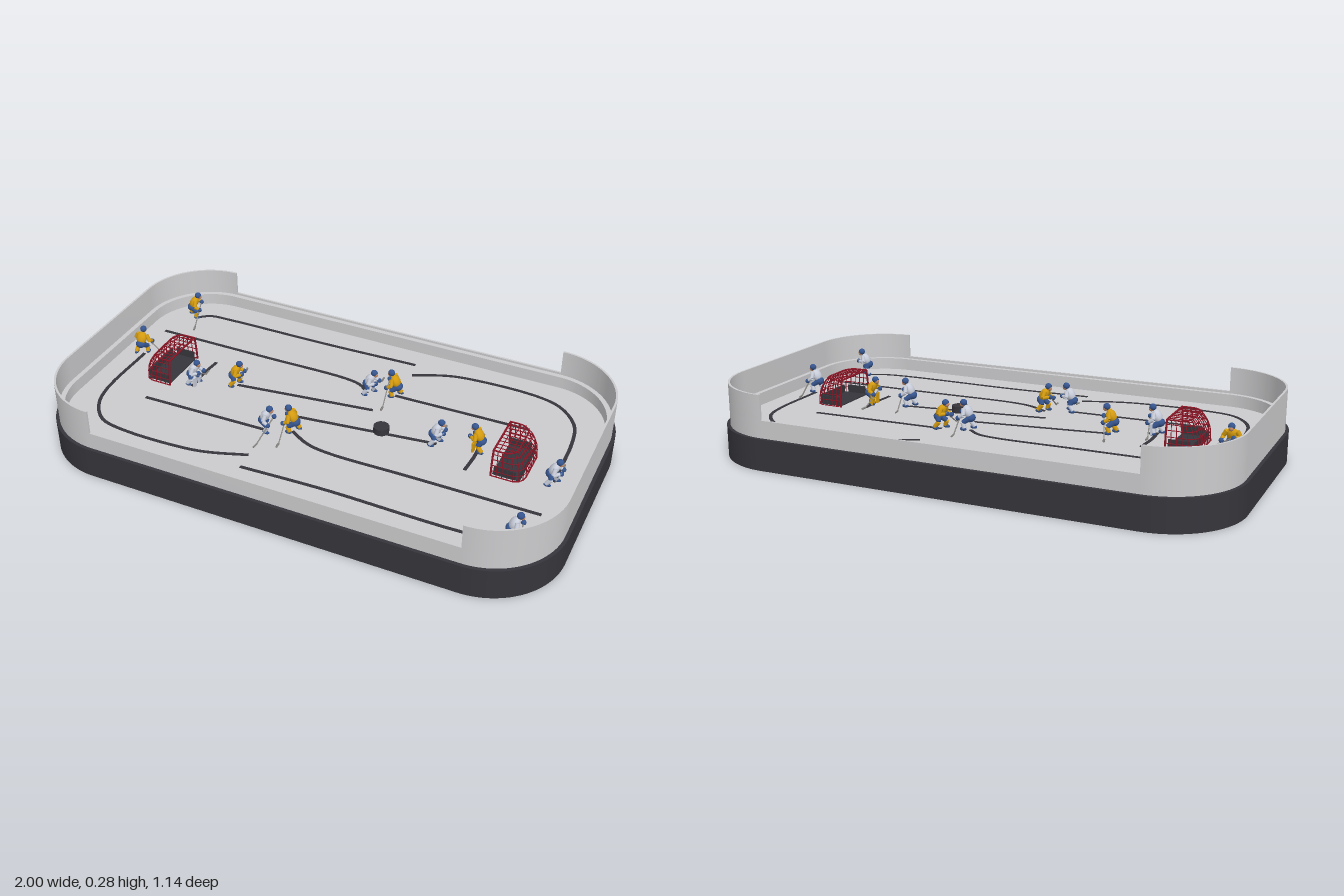
import * as THREE from 'three';
import { toCreasedNormals } from 'three/addons/utils/BufferGeometryUtils.js';

const V = (x, y, z) => new THREE.Vector3(x, y, z);
const FLOOR = 0.13;

function material(name, color) {
  const m = new THREE.MeshStandardMaterial({ color });
  m.name = name;
  return m;
}

function add(parent, name, geometry, mat, x = 0, y = 0, z = 0) {
  const mesh = new THREE.Mesh(geometry, mat);
  mesh.name = name;
  mesh.position.set(x, y, z);
  parent.add(mesh);
  return mesh;
}

// Rounded rectangle outline with half sizes a, b and corner radius r
function roundedRect(a, b, r, Type = THREE.Shape) {
  const s = new Type();
  s.moveTo(-a + r, -b);
  s.lineTo(a - r, -b);
  s.absarc(a - r, -b + r, r, -Math.PI / 2, 0);
  s.lineTo(a, b - r);
  s.absarc(a - r, b - r, r, 0, Math.PI / 2);
  s.lineTo(-a + r, b);
  s.absarc(-a + r, b - r, r, Math.PI / 2, Math.PI);
  s.lineTo(-a, -b + r);
  s.absarc(-a + r, -b + r, r, Math.PI, Math.PI * 1.5);
  return s;
}

// Extrude a plan outline upward from y0 to y1
function slab(shape, y0, y1) {
  const g = new THREE.ExtrudeGeometry(shape, { depth: y1 - y0, bevelEnabled: false, curveSegments: 20 });
  g.rotateX(-Math.PI / 2).translate(0, y0, 0);
  return toCreasedNormals(g, 0.5);
}

function ring(a, b, r, t, y0, y1) {
  const s = roundedRect(a, b, r);
  s.holes.push(roundedRect(a - t, b - t, r - t, THREE.Path));
  return slab(s, y0, y1);
}

// U-shaped tall wall around one end
function endWall(a, b, r, t, y0, y1) {
  const s = new THREE.Shape(), x = a - r;
  s.moveTo(x, -b);
  s.absarc(x, -b + r, r, -Math.PI / 2, 0);
  s.absarc(x, b - r, r, 0, Math.PI / 2);
  s.lineTo(x, b - t);
  s.absarc(x, b - r, r - t, Math.PI / 2, 0, true);
  s.absarc(x, -b + r, r - t, 0, -Math.PI / 2, true);
  return slab(s, y0, y1);
}

// Flat strip following [x, z] points on the floor
function strip(points, width) {
  const curve = new THREE.CatmullRomCurve3(points.map(([x, z]) => V(x, -z, 0)), false, 'centripetal');
  const n = 28, left = [], right = [];
  for (let i = 0; i <= n; i++) {
    const p = curve.getPoint(i / n), t = curve.getTangent(i / n);
    const side = V(-t.y, t.x, 0).multiplyScalar(width / 2);
    left.push(p.clone().add(side));
    right.unshift(p.clone().sub(side));
  }
  return slab(new THREE.Shape([...left, ...right]), FLOOR, FLOOR + 0.002);
}

// Straight tapered limb between two points
function limb(parent, name, a, b, ra, rb, mat, sides = 8) {
  const d = b.clone().sub(a);
  const mesh = add(parent, name, new THREE.CylinderGeometry(rb, ra, d.length(), sides), mat);
  mesh.position.copy(a).add(b).multiplyScalar(0.5);
  mesh.quaternion.setFromUnitVectors(V(0, 1, 0), d.normalize());
}

function blob(parent, name, mat, p, sx, sy, sz, tilt = 0) {
  const mesh = add(parent, name, new THREE.SphereGeometry(1, 12, 8), mat, ...p);
  mesh.scale.set(sx, sy, sz);
  mesh.rotation.z = tilt;
}

// Player facing +x, with the stick reaching to the given side
function makePlayer(name, jersey, m, side, keeper) {
  const g = new THREE.Group();
  g.name = name;
  blob(g, 'shorts', m.blue, [-0.012, 0.047, 0], 0.017, 0.016, 0.02, -0.4);
  blob(g, 'torso', jersey, [0, 0.069, 0], 0.017, 0.026, 0.022, -0.5);
  blob(g, 'face', m.skin, [0.023, 0.096, 0], 0.01, 0.011, 0.009);
  blob(g, 'helmet', m.blue, [0.018, 0.102, 0], 0.0135, 0.0125, 0.0125);
  for (const s of [-1, 1]) {
    const foot = V(s * side * 0.012 - 0.006, 0.01, s * 0.02), knee = V(0.006 + s * side * 0.008, 0.03, s * 0.017);
    limb(g, 'thigh', V(-0.01, 0.047, s * 0.009), knee, 0.012, 0.009, m.blue);
    limb(g, 'sock', foot, knee, 0.008, 0.009, jersey);
    blob(g, 'skate', m.blue, [foot.x + 0.005, 0.007, foot.z], 0.014, 0.007, 0.006);
    if (keeper) add(g, 'legPad', new THREE.BoxGeometry(0.008, 0.04, 0.018), jersey, 0.014, 0.024, s * 0.018);
    const near = s === side;
    const hand = V(near ? 0.026 : 0.03, near ? 0.05 : 0.064, near ? s * 0.032 : s * 0.012);
    const elbow = V(0.006, 0.062, s * 0.031);
    limb(g, 'upperArm', V(0.009, 0.083, s * 0.018), elbow, 0.009, 0.008, jersey);
    limb(g, 'foreArm', elbow, hand, 0.008, 0.006, jersey);
    blob(g, 'glove', m.blue, hand.toArray(), 0.009, 0.009, 0.009);
  }
  const tip = V(0.012, 0.006, side * (keeper ? 0.07 : 0.095));
  limb(g, 'stickShaft', V(0.031, 0.07, -side * 0.02), tip, 0.0024, 0.0024, m.stick, 6);
  limb(g, 'stickBlade', tip, V(0.01, 0.005, side * (keeper ? 0.095 : 0.118)), 0.0045, 0.004, m.stick, 4);
  return g;
}

// Goal opening toward +x
function makeGoal(m) {
  const g = new THREE.Group(), H = 0.105, W = 0.105, R = 0.035, front = 0.055;
  g.name = 'goal';
  const back = t => -0.062 + 0.038 * t * t * t;
  const loop = t => {
    const b = back(t), w = W - 0.012 * t * t;
    const pts = [[front, -w], [b + R, -w], [b + R * 0.3, -w + R * 0.3], [b, -w + R],
      [b, w - R], [b + R * 0.3, w - R * 0.3], [b + R, w], [front, w]].map(([x, z]) => V(x, t * H, z));
    const path = new THREE.CurvePath();
    for (let i = 1; i < pts.length; i++) path.add(new THREE.LineCurve3(pts[i - 1], pts[i]));
    return path;
  };
  const wire = (name, pts, r) => {
    for (let i = 1; i < pts.length; i++) limb(g, name, pts[i - 1], pts[i], r, r, m.red, 5);
  };
  const levels = [0, 0.22, 0.44, 0.66, 0.85, 1], loops = levels.map(loop);
  loops.forEach((path, i) => wire('netLoop', path.getSpacedPoints(20), i % 5 ? 0.0017 : 0.003));
  for (let k = 0; k <= 20; k++) wire('netRib', loops.map(p => p.getPoint(k / 20)), k % 20 ? 0.0017 : 0.004);
  const w = W - 0.012;
  wire('crossbar', [V(front, H, -w), V(front, H, w)], 0.004);
  for (let i = 1; i < 9; i++) {
    const z = -w + (i * 2 * w) / 9;
    wire('roofNet', [V(back(1), H, z), V(front, H, z)], 0.0017);
  }
  for (let i = 1; i < 4; i++) {
    const x = back(1) + (i * (front - back(1))) / 4;
    wire('roofNet', [V(x, H, -w), V(x, H, w)], 0.0017);
  }
  // Dark pocket behind the goal mouth
  add(g, 'goalFloor', new THREE.BoxGeometry(0.1, 0.004, 0.19), m.dark, 0.002, 0.003, 0);
  add(g, 'goalBackboard', new THREE.BoxGeometry(0.005, 0.035, 0.17), m.dark, -0.047, 0.018, 0);
  for (const s of [-1, 1]) add(g, 'goalSideboard', new THREE.BoxGeometry(0.08, 0.035, 0.005), m.dark, 0.008, 0.018, s * 0.093);
  return g;
}

export function createModel() {
  const model = new THREE.Group();
  model.name = 'tableHockeyGame';
  const m = {
    dark: material('charcoal', 0x35353b), ice: material('lightGrey', 0xcbcbcd),
    red: material('goalRed', 0x8f1526), yellow: material('yellowJersey', 0xd59c10),
    white: material('whiteJersey', 0xc9cedb), blue: material('kitBlue', 0x36558f),
    skin: material('skin', 0xc98f6c), stick: material('stickGrey', 0x8c8a86),
  };

  // Base, floor and boards
  add(model, 'base', slab(roundedRect(1, 0.57, 0.285), 0, 0.12), m.dark);
  add(model, 'rinkFloor', slab(roundedRect(0.982, 0.552, 0.267), 0.12, FLOOR), m.ice);
  add(model, 'lowBoard', ring(0.987, 0.557, 0.272, 0.008, 0.12, 0.187), m.ice);
  add(model, 'innerLedge', ring(0.98, 0.55, 0.265, 0.02, FLOOR, 0.178), m.ice);
  for (const turn of [0, Math.PI])
    add(model, 'endBoard', endWall(0.987, 0.557, 0.272, 0.008, 0.187, 0.282), m.ice).rotation.y = turn;

  // Player tracks as [x, z] points
  [
    [[-0.82, -0.38], [-0.77, -0.415], [-0.68, -0.422], [-0.25, -0.425], [0.155, -0.437]],
    [[0.17, -0.365], [0.3, -0.42], [0.4, -0.437], [0.65, -0.437], [0.76, -0.405], [0.84, -0.32], [0.865, -0.22], [0.87, 0.04]],
    [[-0.885, -0.233], [-0.4, -0.233], [-0.06, -0.233], [0.01, -0.218], [0.06, -0.18]],
    [[0.165, -0.207], [0.7, -0.217]],
    [[-0.42, -0.013], [0.125, -0.083]],
    [[-0.13, 0.078], [0.42, 0.01]],
    [[-0.7, 0.21], [-0.18, 0.2]],
    [[-0.09, 0.165], [-0.01, 0.21], [0.08, 0.228], [0.4, 0.228], [0.885, 0.228]],
    [[-0.87, -0.05], [-0.868, 0.22], [-0.84, 0.32], [-0.77, 0.4], [-0.66, 0.425], [-0.43, 0.425], [-0.32, 0.41], [-0.17, 0.36]],
    [[-0.165, 0.432], [0.15, 0.42], [0.74, 0.417], [0.83, 0.385]],
    [[-0.573, -0.115], [-0.58, -0.02], [-0.575, 0.07]],
    [[0.565, -0.08], [0.57, 0.02], [0.565, 0.11]],
  ].forEach(points => add(model, 'track', strip(points, 0.013), m.dark));

  // Goals and puck
  for (const s of [-1, 1]) {
    const goal = makeGoal(m);
    goal.position.set(s * 0.713, FLOOR, -0.005);
    goal.rotation.y = s > 0 ? Math.PI : 0;
    model.add(goal);
  }
  add(model, 'puck', new THREE.CylinderGeometry(0.03, 0.03, 0.026, 12), m.dark, 0.207, FLOOR + 0.013, 0.026);

  // Players: colour, x, z, heading, stick side, keeper
  const P = Math.PI;
  [
    ['yellow', -0.832, -0.388, 0.4, 1], ['yellow', 0.165, -0.208, P, -1],
    ['yellow', -0.88, -0.055, P / 2, 1], ['yellow', -0.425, -0.01, 0.2, -1],
    ['yellow', -0.088, 0.163, P, -1], ['yellow', 0.57, -0.02, P, 1, true],
    ['white', 0.07, -0.178, 0, -1], ['white', 0.417, 0.012, 0.1, -1],
    ['white', 0.87, 0.052, 0, -1], ['white', -0.183, 0.2, 0, 1],
    ['white', 0.835, 0.382, 0.3, 1], ['white', -0.578, 0.05, 0, -1, true],
  ].forEach(([kit, x, z, heading, side, keeper]) => {
    const player = makePlayer(keeper ? 'goalkeeper' : 'player', m[kit], m, side, keeper);
    player.position.set(x, FLOOR, z);
    player.rotation.y = heading;
    model.add(player);
  });
  return model;
}
